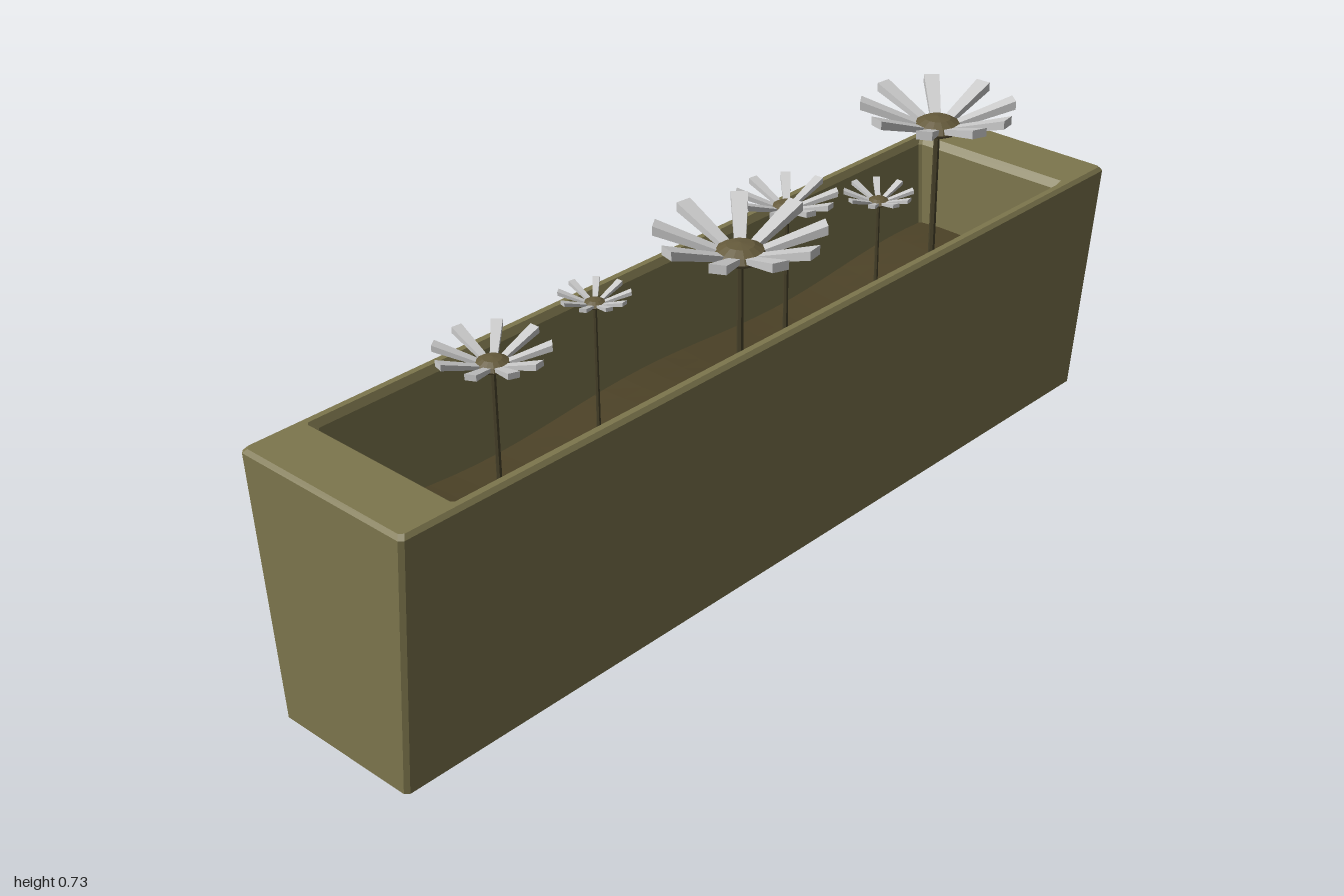
import * as THREE from 'three';

const mat = (color) => new THREE.MeshStandardMaterial({ color, flatShading: true });
const olive = mat(0x7d764d), soilBrown = mat(0x4c4227), petalGrey = mat(0xcccccc);
const stemBrown = mat(0x48422a), discBrown = mat(0x655a3b);
const CX = -0.018; // trough centre line

function mesh(geometry, material, name, parent) {
  const m = new THREE.Mesh(geometry, material);
  m.name = name;
  parent.add(m);
  return m;
}

// Rectangle with clipped corners, at height y
function ring([y, hx, hz, c]) {
  const pts = [[hx, hz - c], [hx, c - hz], [hx - c, -hz], [c - hx, -hz],
    [-hx, c - hz], [-hx, hz - c], [c - hx, hz], [hx - c, hz]];
  return pts.map(([x, z]) => [x + CX, y, z]);
}

// Skin through a stack of rings, closed at both ends
function loft(profile) {
  const rings = profile.map(ring), n = 8, pos = rings.flat(2), idx = [];
  for (let r = 0; r < rings.length - 1; r++) {
    for (let i = 0; i < n; i++) {
      const a = r * n + i, b = r * n + (i + 1) % n;
      idx.push(a, b, b + n, a, b + n, a + n);
    }
  }
  const last = (rings.length - 1) * n;
  for (let i = 1; i < n - 1; i++) {
    idx.push(0, i + 1, i);
    idx.push(last, last + i, last + i + 1);
  }
  const g = new THREE.BufferGeometry();
  g.setAttribute('position', new THREE.Float32BufferAttribute(pos, 3));
  g.setIndex(idx);
  g.computeVertexNormals();
  return g;
}

// Gently uneven earth
function soilGeometry() {
  const g = new THREE.PlaneGeometry(0.346, 1.71, 6, 30).rotateX(-Math.PI / 2);
  const p = g.attributes.position;
  for (let i = 0; i < p.count; i++) {
    const x = p.getX(i), z = p.getZ(i);
    p.setY(i, 0.34 + 0.014 * Math.sin(z * 7 + 1) + 0.008 * Math.sin(x * 14 + z * 4));
  }
  return g;
}

// Petal bar that widens outwards and rises towards its tip
function petalGeometry() {
  const g = new THREE.BoxGeometry(0.128, 0.016, 0.034);
  g.translate(0.101, 0, 0);
  const p = g.attributes.position;
  for (let i = 0; i < p.count; i++) {
    const t = (p.getX(i) - 0.037) / 0.128;
    p.setZ(i, p.getZ(i) * (0.65 + 0.35 * t));
    p.setY(i, p.getY(i) * (0.7 + 0.5 * t) + 0.012 + 0.043 * t);
  }
  return g;
}

function flower(x, y, z, scale, petal) {
  const group = new THREE.Group();
  group.name = 'flower';
  const length = y - 0.3;
  const stem = mesh(new THREE.CylinderGeometry(0.0065 * scale ** 0.6, 0.0075 * scale ** 0.6, length, 6),
    stemBrown, 'stem', group);
  stem.position.y = 0.3 + length / 2;

  const head = new THREE.Group();
  head.name = 'flowerHead';
  head.position.y = y;
  head.scale.setScalar(scale);
  group.add(head);

  // Domed centre with a flat underside
  const profile = [[0, 0], [0.046, 0], [0.053, 0.008], [0.047, 0.02], [0.028, 0.03], [0, 0.034]];
  mesh(new THREE.LatheGeometry(profile.map((p) => new THREE.Vector2(...p)), 14),
    discBrown, 'flowerCentre', head);

  for (let i = 0; i < 9; i++) {
    mesh(petal, petalGrey, 'petal', head).rotation.y = THREE.MathUtils.degToRad(9 + 41.2 * i);
  }
  group.position.set(x, 0, z);
  return group;
}

export function createModel() {
  const model = new THREE.Group();
  model.name = 'flowerTrough';

  // Tapered trough: outside, rim, then down into the hollow
  mesh(loft([
    [0, 0.158, 0.99, 0.008],
    [0.01, 0.168, 1, 0.008],
    [0.552, 0.212, 1, 0.008],
    [0.56, 0.205, 0.993, 0.008],
    [0.56, 0.192, 0.872, 0.006],
    [0.545, 0.184, 0.856, 0.006],
    [0.29, 0.166, 0.85, 0.006],
  ]), olive, 'trough', model);

  const soil = mesh(soilGeometry(), soilBrown, 'soil', model);
  soil.position.x = CX;

  // x, head height, z, size
  const petal = petalGeometry();
  [
    [-0.045, 0.668, -0.705, 1],
    [0.055, 0.637, -0.383, 0.43],
    [-0.06, 0.637, -0.233, 0.62],
    [0.06, 0.668, 0.04, 1],
    [-0.028, 0.652, 0.34, 0.41],
    [0.026, 0.665, 0.64, 0.63],
  ].forEach((f) => model.add(flower(...f, petal)));

  return model;
}
